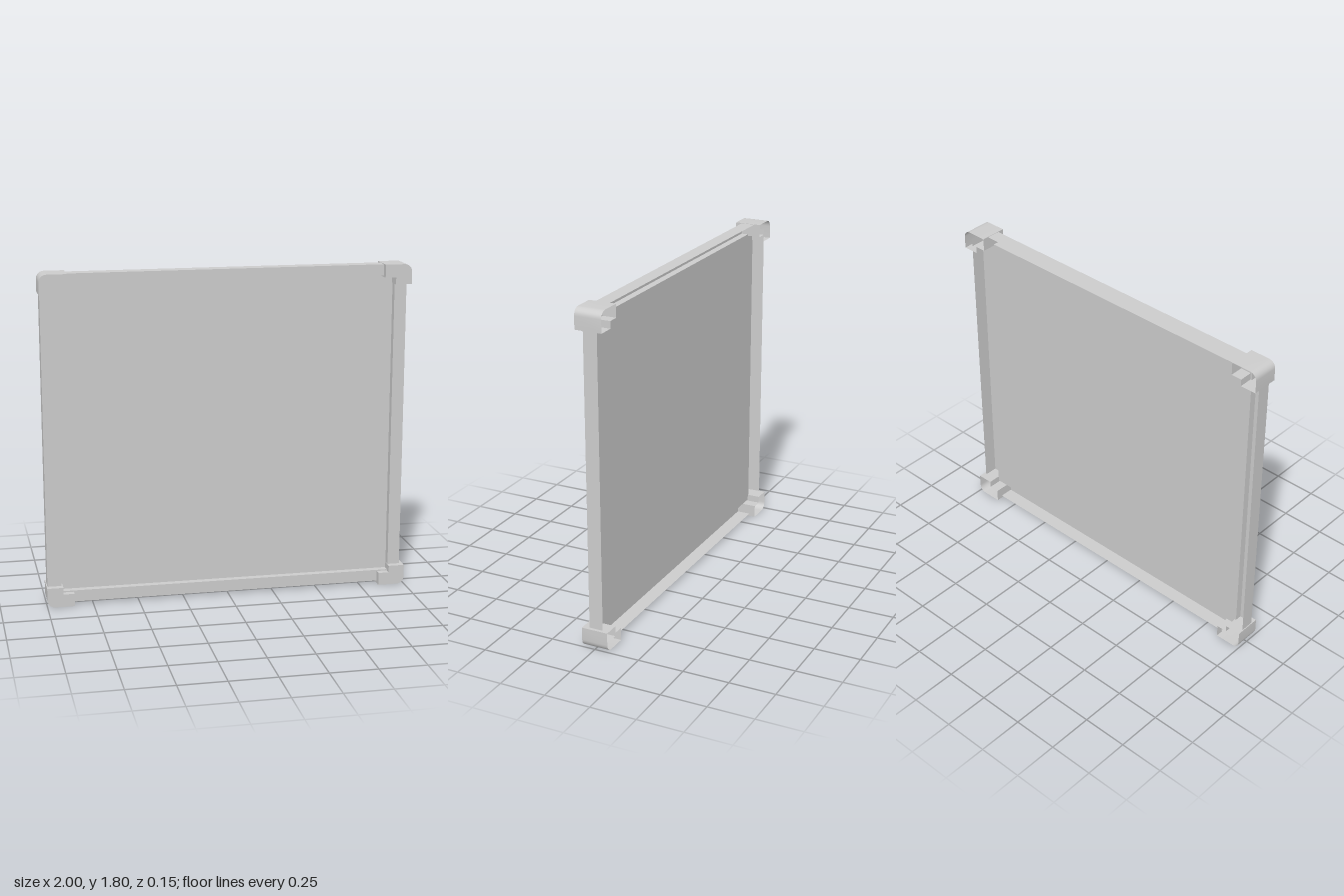
import * as THREE from 'three';
import { mergeGeometries, toCreasedNormals } from 'three/addons/utils/BufferGeometryUtils.js';

const H = 1.805;         // overall height
const RAIL_Z = 0.038;    // half depth of a rail
const CAP_Z = 0.073;     // half depth of a corner cap

const material = new THREE.MeshStandardMaterial({ color: 0xcccccc, side: THREE.DoubleSide });

// Sweeps a counterclockwise line of [x, y] points along z, centred on z = 0
function ribbon(points, depth) {
  const n = points.length - 1;
  const geo = new THREE.PlaneGeometry(1, 1, n, 1);
  const pos = geo.attributes.position;
  for (let i = 0; i < pos.count; i++) {
    const [x, y] = points[i % (n + 1)];
    pos.setXYZ(i, x, y, i <= n ? depth / 2 : -depth / 2);
  }
  return toCreasedNormals(geo, 0.5);
}

function addMesh(group, name, geometry) {
  const mesh = new THREE.Mesh(geometry, material);
  mesh.name = name;
  group.add(mesh);
  return mesh;
}

// Channel open at the back: outer wall, front, and a short inner wall down to the panel
function addRail(group, name, outward, inner, width, length, along) {
  const geo = ribbon([[width, -RAIL_Z], [width, RAIL_Z], [0, RAIL_Z], [0, 0]], length);
  const front = new THREE.Vector3(0, 0, 1);
  const sweep = new THREE.Vector3().crossVectors(outward, front);
  geo.applyMatrix4(new THREE.Matrix4().makeBasis(outward, front, sweep));
  addMesh(group, name, geo).position.copy(outward).multiplyScalar(inner).add(along);
}

// Hollow L-shaped cap with a rounded outer corner, open at the back
function addCap(group, name, sx, sy) {
  const r = 0.04;
  const points = [[-0.147, 0], [-0.147, -0.07], [-0.088, -0.07], [-0.088, -0.108], [0, -0.108]];
  for (let i = 0; i <= 6; i++) {
    const a = (i / 6) * Math.PI / 2;
    points.push([-r + r * Math.cos(a), -r + r * Math.sin(a)]);
  }
  const outline = points.map(([x, y]) => [x * sx, y * sy]);
  if (sx * sy < 0) outline.reverse();
  const face = new THREE.ShapeGeometry(new THREE.Shape(outline.map(p => new THREE.Vector2(...p))));
  face.translate(0, 0, CAP_Z);
  const walls = ribbon([...outline, outline[0]], 2 * CAP_Z);
  const geo = mergeGeometries([face.toNonIndexed(), walls]);
  addMesh(group, name, geo).position.set(sx, sy > 0 ? H : 0, 0);
}

export function createModel() {
  const group = new THREE.Group();
  group.name = 'framedPanel';
  const V = (x, y, z) => new THREE.Vector3(x, y, z);

  // Thin panel set at mid depth
  const left = 0.915, right = -0.92, bottom = 0.077, top = 1.743;
  const panel = addMesh(group, 'panel', new THREE.PlaneGeometry(left - right, top - bottom));
  panel.position.set((left + right) / 2, (top + bottom) / 2, 0);

  // Rails around the panel
  const middle = V(0, (top + bottom) / 2, 0);
  addRail(group, 'leftRail', V(1, 0, 0), left, 0.067, top - bottom, middle);
  addRail(group, 'rightRail', V(-1, 0, 0), -right, 0.075, top - bottom, middle);
  const centre = V((left + right) / 2, 0, 0);
  addRail(group, 'topRail', V(0, 1, 0), top, 0.06, left - right, centre);
  addRail(group, 'bottomRail', V(0, -1, 0), -bottom, 0.063, left - right, centre);

  // Corner caps
  for (const sx of [-1, 1]) {
    for (const sy of [-1, 1]) {
      addCap(group, (sy > 0 ? 'top' : 'bottom') + (sx > 0 ? 'Left' : 'Right') + 'Cap', sx, sy);
    }
  }
  return group;
}
